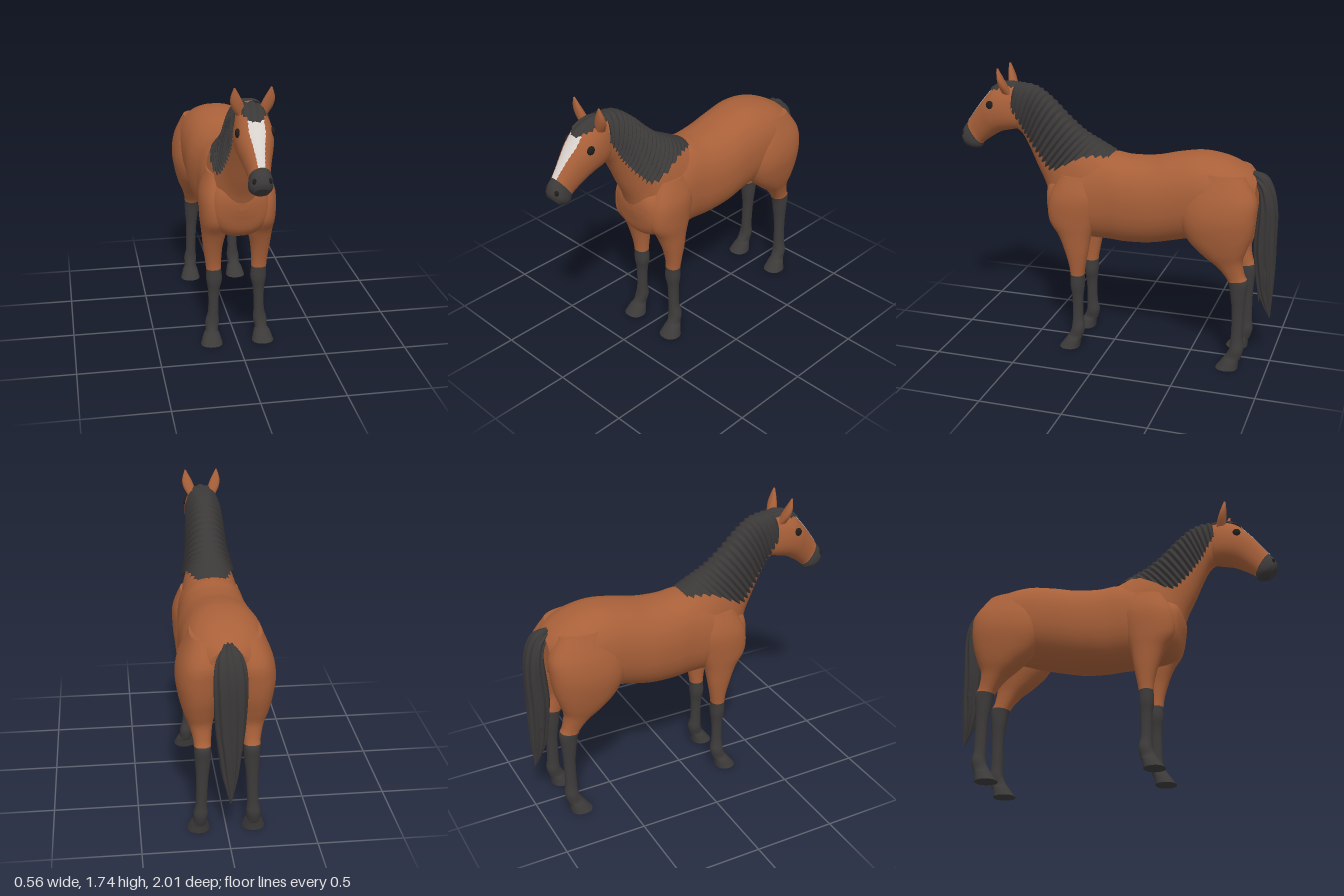
import * as THREE from 'three';

const mat = (name, color, side = THREE.FrontSide) => {
  const m = new THREE.MeshStandardMaterial({ color, side });
  m.name = name;
  return m;
};

// A section is [z1, y1, z2, y2, halfWidth, centreX]: an oval spanning two points of the side profile.
function sectionAt(S, t) {
  const n = S.length, i = Math.min(Math.floor(t), n - 2), f = t - i;
  const [a, b, c, d] = [S[Math.max(i - 1, 0)], S[i], S[i + 1], S[Math.min(i + 2, n - 1)]];
  return [0, 1, 2, 3, 4, 5].map((k) => {
    const [p, q, r, s] = [a, b, c, d].map((v) => v[k] ?? 0);
    return q + 0.5 * f * (r - p + f * (2 * p - 5 * q + 4 * r - s + f * (3 * (q - r) + s - p)));
  });
}

// Smooth skin over the sections; with "arc" it is an open shell covering only that half angle round the first point.
function skin(S, { t0 = 0, t1 = S.length - 1, arc = null, grow = 0, ridge = () => 0, pow = 0.92, steps = 5, sides = 32 } = {}) {
  const pos = [], idx = [];
  const rows = Math.ceil((t1 - t0) * steps), cols = arc ? sides + 1 : sides;
  const bend = (v) => Math.sign(v) * Math.abs(v) ** pow;
  for (let r = 0; r <= rows; r++) {
    const t = t0 + ((t1 - t0) * r) / rows;
    const [z1, y1, z2, y2, hw, cx] = sectionAt(S, t);
    const L = Math.hypot(z1 - z2, y1 - y2) / 2 || 1e-4, half = arc ? arc(t) : Math.PI;
    for (let j = 0; j < cols; j++) {
      const a = -half + (2 * half * j) / sides, g = grow + ridge(t, a);
      const k = (bend(Math.cos(a)) * (L + g)) / L / 2;
      pos.push(cx + (hw + g) * bend(Math.sin(a)), (y1 + y2) / 2 + (y1 - y2) * k, (z1 + z2) / 2 + (z1 - z2) * k);
    }
  }
  for (let r = 0; r < rows; r++) for (let j = 0; j < sides; j++) {
    const a = r * cols + j, b = r * cols + ((j + 1) % cols), c = a + cols, d = b + cols;
    idx.push(a, b, c, b, d, c);
  }
  // flat end caps with their own vertices
  if (!arc) for (const r of [0, rows]) {
    const base = pos.length / 3, mid = [0, 0, 0];
    for (let j = 0; j < cols; j++) for (let k = 0; k < 3; k++) {
      const v = pos[(r * cols + j) * 3 + k];
      pos.push(v);
      mid[k] += v / cols;
    }
    pos.push(...mid);
    for (let j = 0; j < cols; j++) {
      const e = [base + j, base + ((j + 1) % cols)];
      if (r) e.reverse();
      idx.push(base + cols, e[1], e[0]);
    }
  }
  // turn faces outward where the volume comes out negative
  const P = (i) => new THREE.Vector3().fromArray(pos, i * 3);
  let vol = 0;
  if (!arc) for (let i = 0; i < idx.length; i += 3) vol += P(idx[i]).dot(P(idx[i + 1]).cross(P(idx[i + 2])));
  if (vol < 0) idx.reverse();
  const g = new THREE.BufferGeometry();
  g.setAttribute('position', new THREE.Float32BufferAttribute(pos, 3));
  g.setIndex(idx);
  g.computeVertexNormals();
  return g;
}

const TORSO = [
  [0.42, 0.98, 0.418, 0.93, 0.03], [0.412, 1.03, 0.405, 0.87, 0.09], [0.385, 1.08, 0.38, 0.785, 0.15],
  [0.32, 1.12, 0.32, 0.735, 0.185], [0.2, 1.2, 0.2, 0.71, 0.2], [0.1, 1.235, 0.1, 0.705, 0.205],
  [0, 1.25, 0, 0.703, 0.207], [-0.1, 1.237, -0.1, 0.7, 0.22], [-0.25, 1.245, -0.25, 0.712, 0.235],
  [-0.4, 1.28, -0.4, 0.745, 0.235], [-0.55, 1.3, -0.55, 0.785, 0.24], [-0.7, 1.275, -0.7, 0.83, 0.235],
  [-0.82, 1.22, -0.82, 0.88, 0.19], [-0.88, 1.17, -0.885, 0.95, 0.11],
];
const NECK = [
  [0.62, 1.63, 0.64, 1.36, 0.083], [0.5, 1.612, 0.585, 1.32, 0.09], [0.4, 1.542, 0.54, 1.24, 0.098],
  [0.3, 1.445, 0.49, 1.13, 0.108], [0.2, 1.36, 0.44, 1.03, 0.13], [0.1, 1.305, 0.4, 0.93, 0.16],
  [0, 1.252, 0.33, 0.85, 0.18],
];
const HEAD = [
  [0.6, 1.62, 0.58, 1.4, 0.07], [0.68, 1.632, 0.6, 1.36, 0.093], [0.77, 1.597, 0.65, 1.345, 0.105],
  [0.83, 1.535, 0.73, 1.325, 0.1], [0.88, 1.475, 0.8, 1.285, 0.08], [0.925, 1.415, 0.85, 1.25, 0.064],
  [0.958, 1.37, 0.865, 1.235, 0.06], [0.985, 1.335, 0.875, 1.212, 0.066], [1, 1.295, 0.905, 1.205, 0.062],
  [0.996, 1.265, 0.95, 1.21, 0.042],
];
const FORE = [
  [0.3, 1.12, 0.1, 1.12, 0.055, 0.125], [0.37, 0.98, 0.06, 1, 0.085, 0.142], [0.375, 0.84, 0.08, 0.85, 0.085, 0.142],
  [0.315, 0.74, 0.11, 0.74, 0.075, 0.14], [0.275, 0.64, 0.128, 0.64, 0.06, 0.145], [0.25, 0.55, 0.145, 0.55, 0.05, 0.143],
  [0.242, 0.485, 0.155, 0.485, 0.046, 0.14], [0.243, 0.41, 0.155, 0.41, 0.048, 0.137], [0.232, 0.33, 0.163, 0.33, 0.034, 0.14],
  [0.23, 0.2, 0.163, 0.2, 0.032, 0.143], [0.235, 0.125, 0.152, 0.13, 0.042, 0.15], [0.25, 0.085, 0.165, 0.07, 0.038, 0.155],
  [0.27, 0.055, 0.175, 0.05, 0.05, 0.158], [0.31, 0, 0.183, 0, 0.067, 0.16],
];
const HIND = [
  [-0.55, 1.22, -0.82, 1.2, 0.09, 0.11], [-0.46, 1.06, -0.895, 1.08, 0.125, 0.135], [-0.45, 0.93, -0.9, 0.97, 0.132, 0.148],
  [-0.5, 0.81, -0.885, 0.86, 0.115, 0.15], [-0.59, 0.72, -0.855, 0.765, 0.09, 0.15], [-0.68, 0.65, -0.832, 0.69, 0.065, 0.145],
  [-0.735, 0.585, -0.845, 0.605, 0.05, 0.14], [-0.755, 0.54, -0.868, 0.555, 0.048, 0.14], [-0.768, 0.46, -0.86, 0.47, 0.044, 0.14],
  [-0.78, 0.36, -0.853, 0.36, 0.035, 0.143], [-0.78, 0.2, -0.853, 0.2, 0.033, 0.148], [-0.775, 0.13, -0.86, 0.13, 0.042, 0.152],
  [-0.755, 0.085, -0.845, 0.07, 0.04, 0.155], [-0.735, 0.055, -0.835, 0.05, 0.05, 0.157], [-0.695, 0, -0.83, 0, 0.065, 0.16],
];
const EAR = [
  [0.7, 1.58, 0.64, 1.57, 0.024, 0.06], [0.71, 1.63, 0.655, 1.62, 0.035, 0.078],
  [0.715, 1.68, 0.675, 1.67, 0.029, 0.092], [0.714, 1.735, 0.702, 1.735, 0.004, 0.1],
];
const TAIL = [
  [-0.85, 1.205, -0.86, 1.15, 0.03], [-0.93, 1.175, -0.89, 1.09, 0.07], [-0.98, 1.08, -0.895, 1.02, 0.088],
  [-1, 0.95, -0.885, 0.92, 0.09], [-1, 0.75, -0.872, 0.75, 0.082], [-1, 0.6, -0.885, 0.6, 0.064],
  [-0.995, 0.47, -0.905, 0.47, 0.046], [-0.992, 0.38, -0.935, 0.38, 0.026], [-0.988, 0.29, -0.98, 0.29, 0.004],
];

export function createModel() {
  const horse = new THREE.Group();
  horse.name = 'horse';
  const coat = mat('bay coat', 0xa86039);
  const dark = mat('dark points', 0x3d3a3a);
  const hair = mat('dark hair', 0x3b3838, THREE.DoubleSide);
  const white = mat('white blaze', 0xd9d1cc, THREE.DoubleSide);
  const black = mat('eye black', 0x201c1c);
  const add = (name, geo, material) => {
    const m = new THREE.Mesh(geo, material);
    m.name = name;
    horse.add(m);
    return m;
  };

  add('torso', skin(TORSO, { pow: 0.88, sides: 48 }), coat);
  add('neck', skin(NECK), coat);
  add('head', skin(HEAD, { t1: 6 }), coat);
  add('muzzle', skin(HEAD, { t0: 6 }), dark);
  add('blaze', skin(HEAD, { t0: 2.3, t1: 6.02, grow: 0.004, steps: 12, sides: 10, arc: (t) => 0.42 - 0.05 * Math.abs(t - 3.2) + 0.02 * Math.sin(t * 17) }), white);

  // mane and forelock: ragged shells over the neck and head
  const tooth = (t, n) => Math.abs(((t * n) % 1) - 0.35);
  const maneDepth = [0.5, 0.73, 0.75, 0.7, 0.62, 0.2, 0.05].map((d) => [d]);
  add('mane', skin(NECK, {
    steps: 20, sides: 40, grow: 0.009,
    arc: (t) => Math.acos(1 - 2 * Math.max(sectionAt(maneDepth, t)[0], 0.04)) + 0.22 * (tooth(t, 3.3) - 0.3),
    ridge: (t, a) => 0.012 * Math.abs(Math.sin(a)) * Math.min(1, (6 - t) / 2) * (0.6 + Math.sin(t * 20.7 + Math.abs(a) * 2)),
  }), hair);
  add('forelock', skin(HEAD, {
    t1: 2.55, steps: 16, sides: 20, grow: 0.01,
    arc: (t) => (t < 1.7 ? 0.62 : 0.62 - 0.5 * (t - 1.7)) + 0.2 * (tooth(t, 3) - 0.3),
    ridge: (t, a) => 0.004 * Math.sin(a * 14 + t),
  }), hair);

  // tail with hanging locks
  const strands = (t, a) => 0.005 * Math.sin(a * 9 + t * 0.8) * Math.min(1, (8 - t) / 2);
  add('tail', skin(TAIL, { ridge: strands, sides: 64 }), hair);
  for (const [x, z, y] of [[0.045, -0.95, 0.44], [-0.05, -0.94, 0.47], [0.01, -0.915, 0.39], [-0.025, -0.97, 0.36]]) {
    add('tailLock', skin([
      [z - 0.02, 0.82, z + 0.02, 0.82, 0.018, x * 0.9], [z - 0.022, 0.62, z + 0.022, 0.62, 0.02, x],
      [z - 0.015, y + 0.1, z + 0.015, y + 0.1, 0.014, x], [z - 0.002, y, z + 0.002, y, 0.002, x * 0.9],
    ], { sides: 10 }), hair);
  }

  // paired parts
  const ball = new THREE.SphereGeometry(1, 20, 14);
  for (const [side, s] of [['left', 1], ['right', -1]]) {
    const flip = (S) => S.map((v) => [...v.slice(0, 5), v[5] * s]);
    add(side + 'Shoulder', skin(flip(FORE), { t1: 6 }), coat);
    add(side + 'ForeStocking', skin(flip(FORE), { t0: 6 }), dark);
    add(side + 'Haunch', skin(flip(HIND), { t1: 6.6, pow: 0.85, sides: 40 }), coat);
    add(side + 'HindStocking', skin(flip(HIND), { t0: 6.6 }), dark);
    add(side + 'Ear', skin(flip(EAR), { sides: 16 }), coat);
    const eye = add(side + 'Eye', ball, black);
    eye.position.set(0.094 * s, 1.505, 0.77);
    eye.scale.set(0.014, 0.026, 0.025);
    const nostril = add(side + 'Nostril', ball, black);
    nostril.position.set(0.04 * s, 1.302, 0.979);
    nostril.scale.set(0.013, 0.018, 0.012);
  }
  return horse;
}
